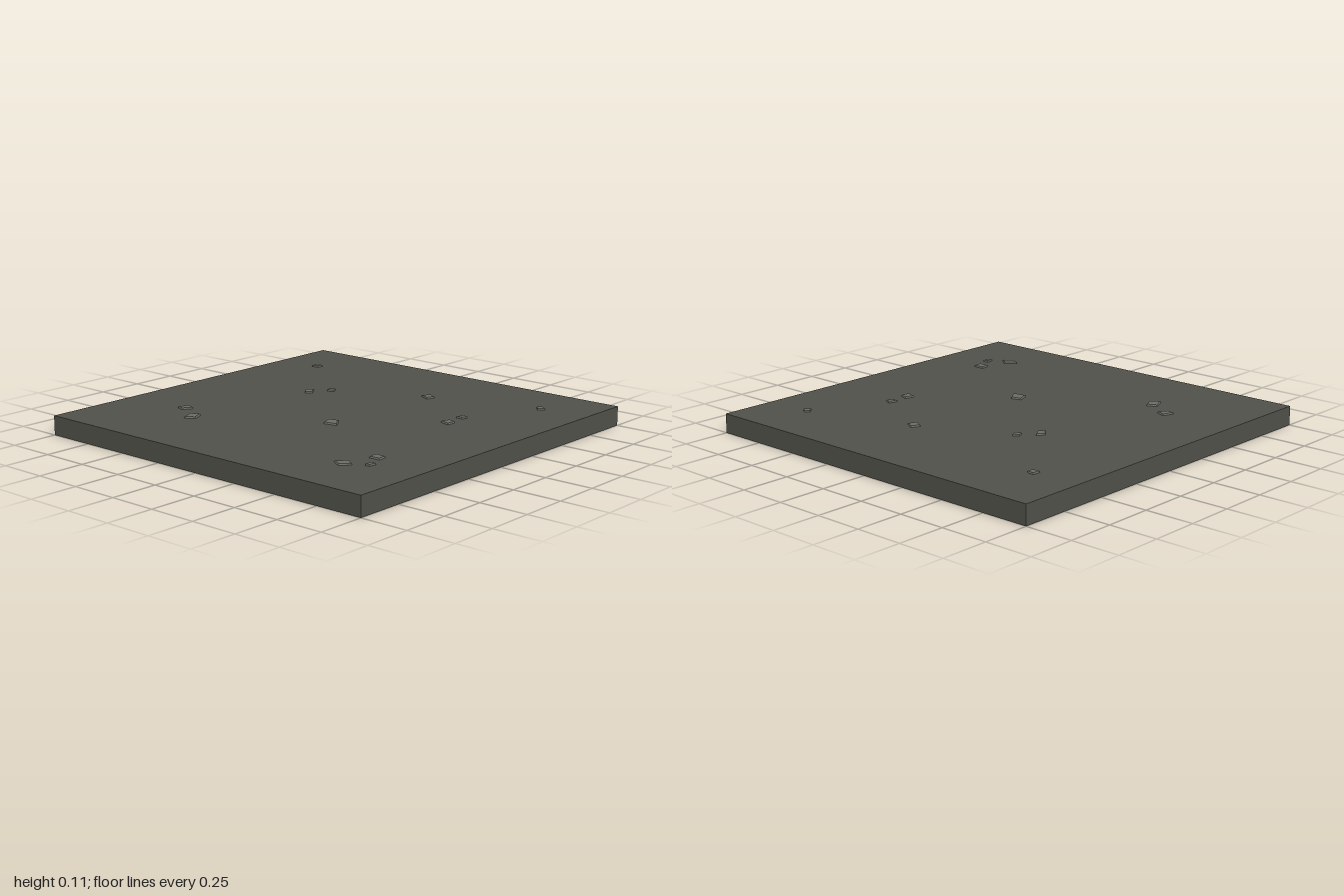
import * as THREE from 'three';

const TOP = 0.1;          // height of the ground surface
const STONE_HEIGHT = 0.008;

// Stone outlines on the ground: x, z corner pairs, clockwise seen from above
const STONES = [
  [-0.49, -0.65, -0.43, -0.63, -0.45, -0.58, -0.5, -0.61],
  [-0.61, -0.48, -0.54, -0.51, -0.515, -0.46, -0.58, -0.43],
  [0.165, -0.38, 0.205, -0.415, 0.24, -0.385, 0.19, -0.35],
  [0.27, -0.32, 0.3, -0.335, 0.32, -0.305, 0.285, -0.285],
  [0.645, -0.765, 0.69, -0.765, 0.685, -0.725, 0.65, -0.725],
  [-0.235, 0.105, -0.17, 0.08, -0.155, 0.135, -0.22, 0.18],
  [0.505, 0.125, 0.55, 0.15, 0.525, 0.195, 0.48, 0.18],
  [0.16, 0.52, 0.21, 0.535, 0.195, 0.58, 0.145, 0.575],
  [0.275, 0.525, 0.325, 0.535, 0.31, 0.57, 0.28, 0.56],
  [-0.7, 0.585, -0.65, 0.635, -0.685, 0.68, -0.73, 0.635],
  [-0.65, 0.725, -0.61, 0.725, -0.61, 0.755, -0.65, 0.75],
  [-0.545, 0.66, -0.495, 0.655, -0.495, 0.715, -0.545, 0.72],
  [0.67, 0.735, 0.7, 0.71, 0.72, 0.735, 0.695, 0.765],
];

// Ground slab: a box without its underside
function slabGeometry() {
  const geo = new THREE.BoxGeometry(2, TOP, 2);
  const index = Array.from(geo.index.array);
  index.splice(18, 6);
  geo.setIndex(index);
  geo.clearGroups();
  geo.translate(0, TOP / 2, 0);
  return geo;
}

// Low flat stone: bevelled sides rising to a slightly smaller top
function stoneGeometry(outline) {
  const n = outline.length / 2;
  const base = [];
  for (let i = 0; i < n; i++) base.push(new THREE.Vector3(outline[2 * i], TOP, outline[2 * i + 1]));
  const centre = base.reduce((sum, p) => sum.add(p), new THREE.Vector3()).divideScalar(n);
  const top = base.map((p) => p.clone().lerp(centre, 0.12).setY(TOP + STONE_HEIGHT));
  centre.y = TOP + STONE_HEIGHT;

  const points = [];
  for (let i = 0; i < n; i++) {
    const j = (i + 1) % n;
    points.push(base[i], top[i], base[j], top[i], top[j], base[j]);
    points.push(centre, top[j], top[i]);
  }
  const geo = new THREE.BufferGeometry().setFromPoints(points);
  geo.computeVertexNormals();
  return geo;
}

export function createModel() {
  const groundGrey = new THREE.MeshStandardMaterial({ color: 0x50504a, side: THREE.DoubleSide });
  groundGrey.name = 'ground grey';
  const stoneGrey = new THREE.MeshStandardMaterial({ color: 0x6c6c67, side: THREE.DoubleSide, flatShading: true });
  stoneGrey.name = 'stone grey';

  const model = new THREE.Group();
  model.name = 'groundTile';

  const slab = new THREE.Mesh(slabGeometry(), groundGrey);
  slab.name = 'groundSlab';
  model.add(slab);

  // Scattered stones
  const stones = new THREE.Group();
  stones.name = 'stones';
  STONES.forEach((outline, i) => {
    const stone = new THREE.Mesh(stoneGeometry(outline), stoneGrey);
    stone.name = `stone${i + 1}`;
    stones.add(stone);
  });
  model.add(stones);

  return model;
}
